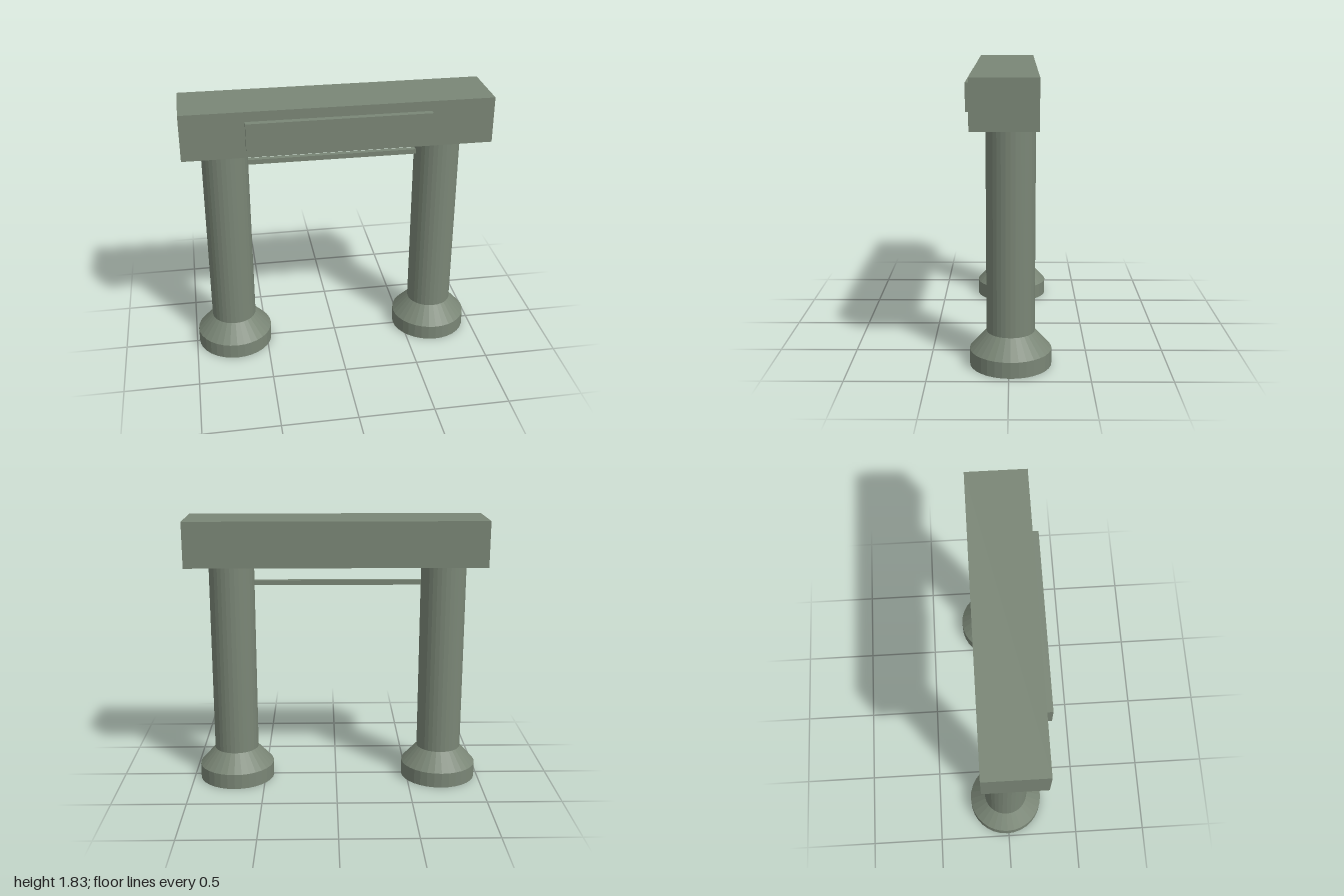
import * as THREE from 'three';

export function createModel() {
  const model = new THREE.Group();
  model.name = 'gateway';

  const stone = new THREE.MeshStandardMaterial({ color: 0x7a8676, flatShading: true });
  stone.name = 'grey green stone';

  // Box given by its lower and upper corners
  function block(name, [x0, y0, z0], [x1, y1, z1]) {
    const mesh = new THREE.Mesh(new THREE.BoxGeometry(x1 - x0, y1 - y0, z1 - z0), stone);
    mesh.position.set((x0 + x1) / 2, (y0 + y1) / 2, (z0 + z1) / 2);
    mesh.name = name;
    model.add(mesh);
  }

  // Column with a flared foot
  const profile = [
    [0, 0], [0.258, 0], [0.258, 0.103], [0.152, 0.22], [0.152, 1.52], [0, 1.52],
  ].map(([r, y]) => new THREE.Vector2(r, y));
  const columnGeometry = new THREE.LatheGeometry(profile, 32);

  for (const [name, x] of [['rightColumn', -0.724], ['leftColumn', 0.7]]) {
    const column = new THREE.Mesh(columnGeometry, stone);
    column.position.set(x, 0, -0.011);
    column.name = name;
    model.add(column);
  }

  // Lintel, raised panel on its front, and the thin bar between the columns
  block('lintel', [-1, 1.52, -0.178], [1, 1.825, 0.228]);
  block('frontPanel', [-0.595, 1.58, 0.2], [0.59, 1.76, 0.269]);
  block('crossBar', [-0.6, 1.375, -0.015], [0.58, 1.408, 0.02]);

  return model;
}
